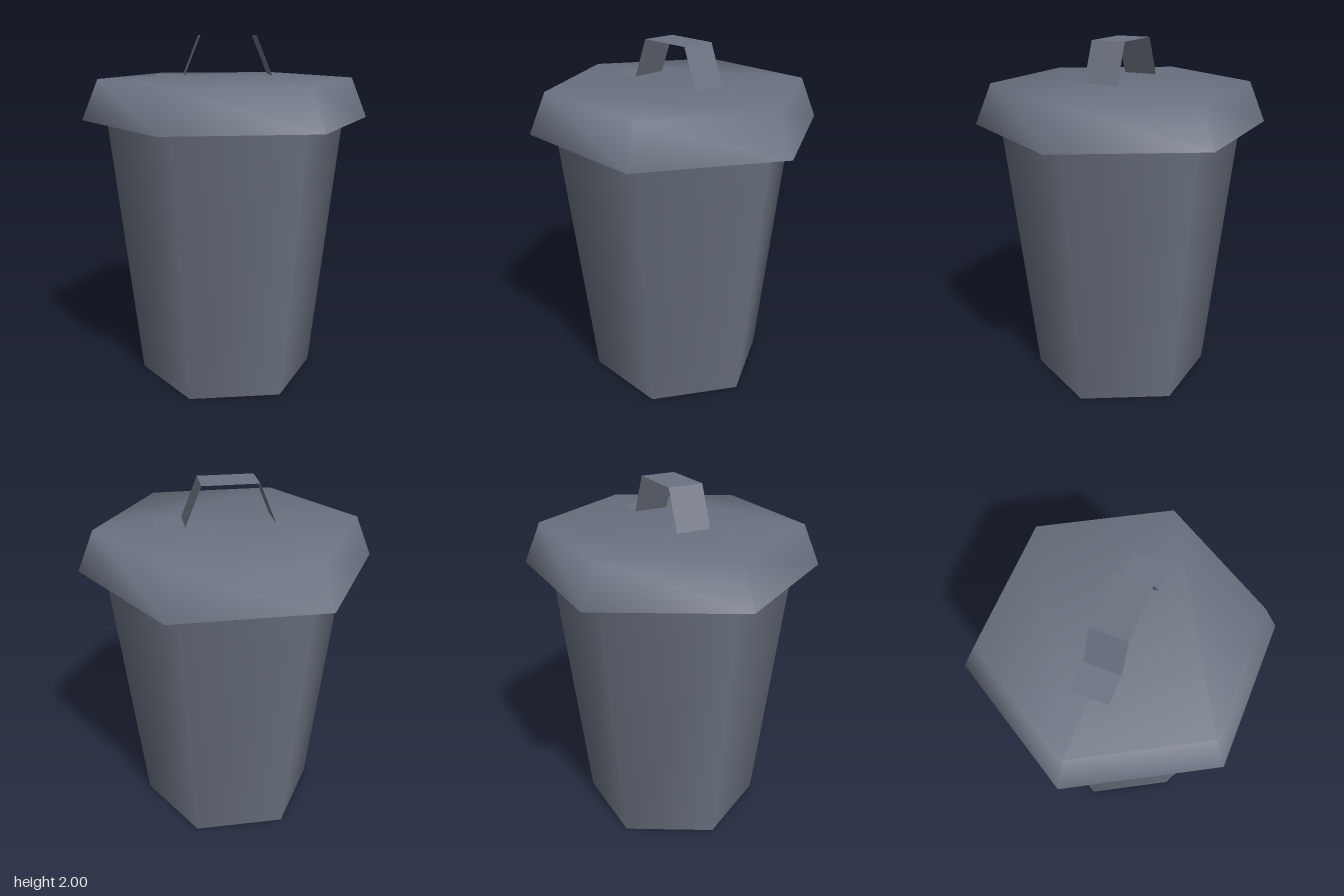
import * as THREE from 'three';

export function createModel() {
  const model = new THREE.Group();
  const metal = new THREE.MeshStandardMaterial({ color: 0x6b7280, side: THREE.DoubleSide });
  metal.name = 'slate grey';

  const add = (name, geometry) => {
    const mesh = new THREE.Mesh(geometry, metal);
    mesh.name = name;
    model.add(mesh);
    return mesh;
  };

  // Tapered six-sided bin, reaching a little way up inside the lid
  const bin = new THREE.CylinderGeometry(0.69, 0.515, 1.57, 6, 1, false, Math.PI / 2);
  add('bin', bin.translate(0, 0.785, 0));

  // Lid: open below, one smooth skin shared by the skirt and the flat top
  const points = [];
  for (const [radius, y] of [[0.73, 1.76], [0.825, 1.53]]) {
    for (let i = 0; i < 6; i++) {
      const a = (i * Math.PI) / 3;
      points.push(radius * Math.cos(a), y, radius * Math.sin(a));
    }
  }
  const faces = [2, 1, 0, 5, 4, 3, 3, 2, 0, 5, 3, 0];
  for (let i = 0; i < 6; i++) {
    const j = (i + 1) % 6;
    faces.push(i, j, i + 6, j, j + 6, i + 6);
  }
  const lid = new THREE.BufferGeometry();
  lid.setAttribute('position', new THREE.Float32BufferAttribute(points, 3));
  lid.setIndex(faces);
  lid.computeVertexNormals();
  add('lid', lid);

  // Handle: a flat strip folded into two feet, two legs and a grip
  const path = [[-0.405, 1.78], [-0.245, 1.78], [-0.155, 2], [0.155, 2], [0.245, 1.78], [0.405, 1.78]];
  const strip = new THREE.PlaneGeometry(1, 0.2, path.length - 1, 1).rotateX(-Math.PI / 2);
  const pos = strip.attributes.position;
  for (let i = 0; i < pos.count; i++) {
    const [x, y] = path[i % path.length];
    pos.setXYZ(i, x, y, pos.getZ(i));
  }
  const handle = strip.toNonIndexed();
  handle.computeVertexNormals();
  add('handle', handle);

  return model;
}
